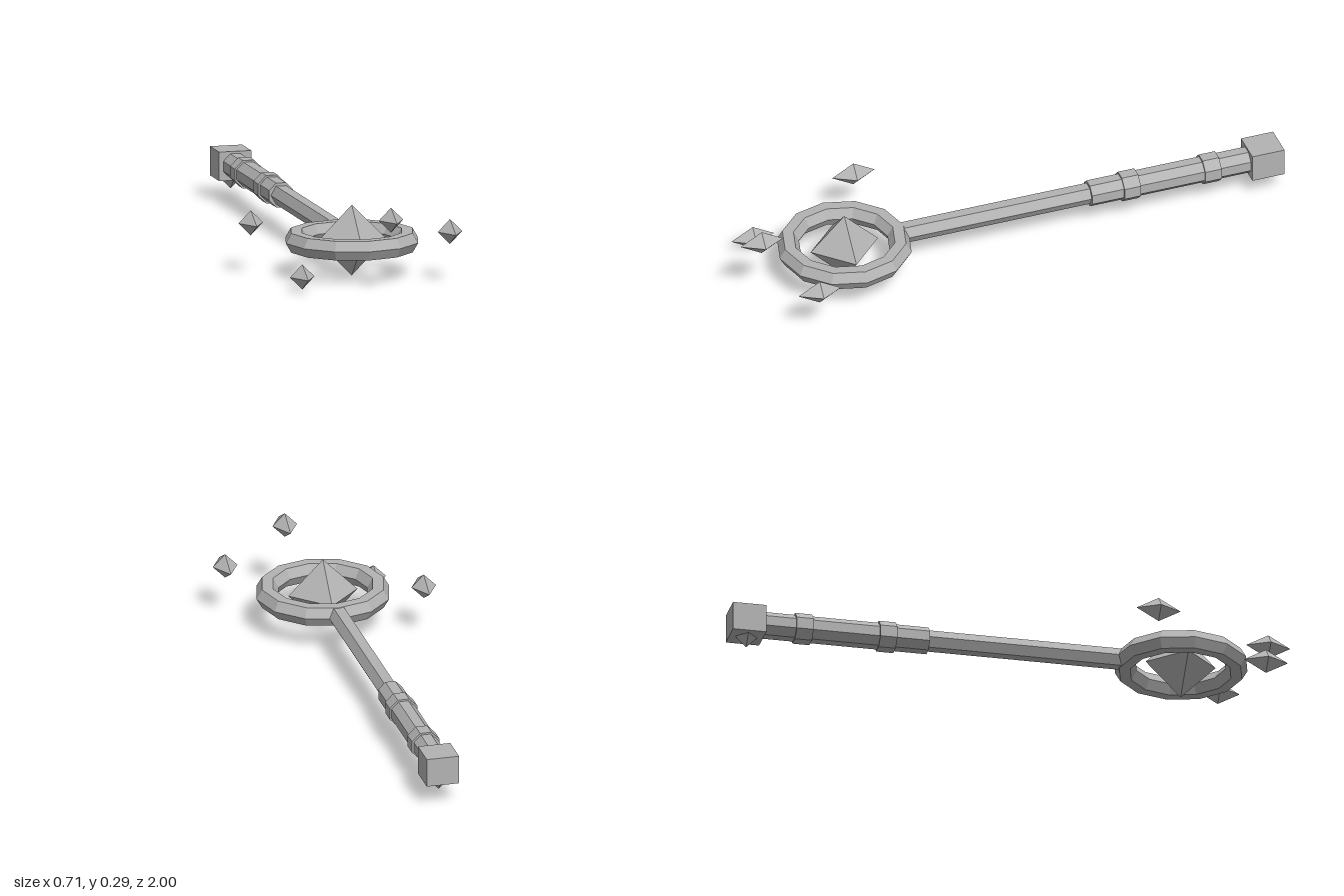
import * as THREE from 'three';

const CX = 0.011, CY = 0.125; // axis of the staff

export function createModel() {
  const group = new THREE.Group();
  group.name = 'crystalStaff';
  const stone = new THREE.MeshStandardMaterial({ color: 0xb3b3b3 });
  stone.name = 'plain grey';

  // Adds a faceted mesh
  function add(name, geometry, x, y, z) {
    const flat = geometry.index ? geometry.toNonIndexed() : geometry;
    flat.computeVertexNormals();
    const mesh = new THREE.Mesh(flat, stone);
    mesh.name = name;
    mesh.position.set(x, y, z);
    group.add(mesh);
    return mesh;
  }

  // Prism lying along z between two depths
  function rod(name, radius, sides, start, zBack, zFront) {
    const g = new THREE.CylinderGeometry(radius, radius, zFront - zBack, sides, 1, false, start);
    add(name, g.rotateX(Math.PI / 2), CX, CY, (zBack + zFront) / 2);
  }

  // Handle: hexagonal shaft, octagonal grip and two raised bands
  rod('shaft', 0.037, 6, Math.PI / 2, -0.9, 0.39);
  rod('grip', 0.0465, 8, Math.PI / 8, -0.89, -0.298);
  rod('frontBand', 0.0535, 8, Math.PI / 8, -0.475, -0.415);
  rod('rearBand', 0.0535, 8, Math.PI / 8, -0.772, -0.712);

  // Pommel block with a small point below
  add('pommel', new THREE.BoxGeometry(0.116, 0.102, 0.118), CX, CY, -0.941);
  add('pommelPoint', new THREE.OctahedronGeometry(0.045), CX, 0.08, -0.941);

  // Head ring around the large crystal
  add('headRing', new THREE.TorusGeometry(0.198, 0.039, 6, 12).rotateX(Math.PI / 2), CX, CY, 0.6);
  add('largeCrystal', new THREE.OctahedronGeometry(0.124), CX, CY, 0.6);

  // Floating shards, stretched along z
  const shards = [
    [-0.31, 0.175, 0.45],
    [0.308, 0.175, 0.798],
    [0.061, 0.249, 0.922],
    [-0.237, 0.051, 0.847],
  ];
  for (const [x, y, z] of shards) {
    add('shard', new THREE.OctahedronGeometry(1).scale(0.044, 0.044, 0.078), x, y, z);
  }

  return group;
}
